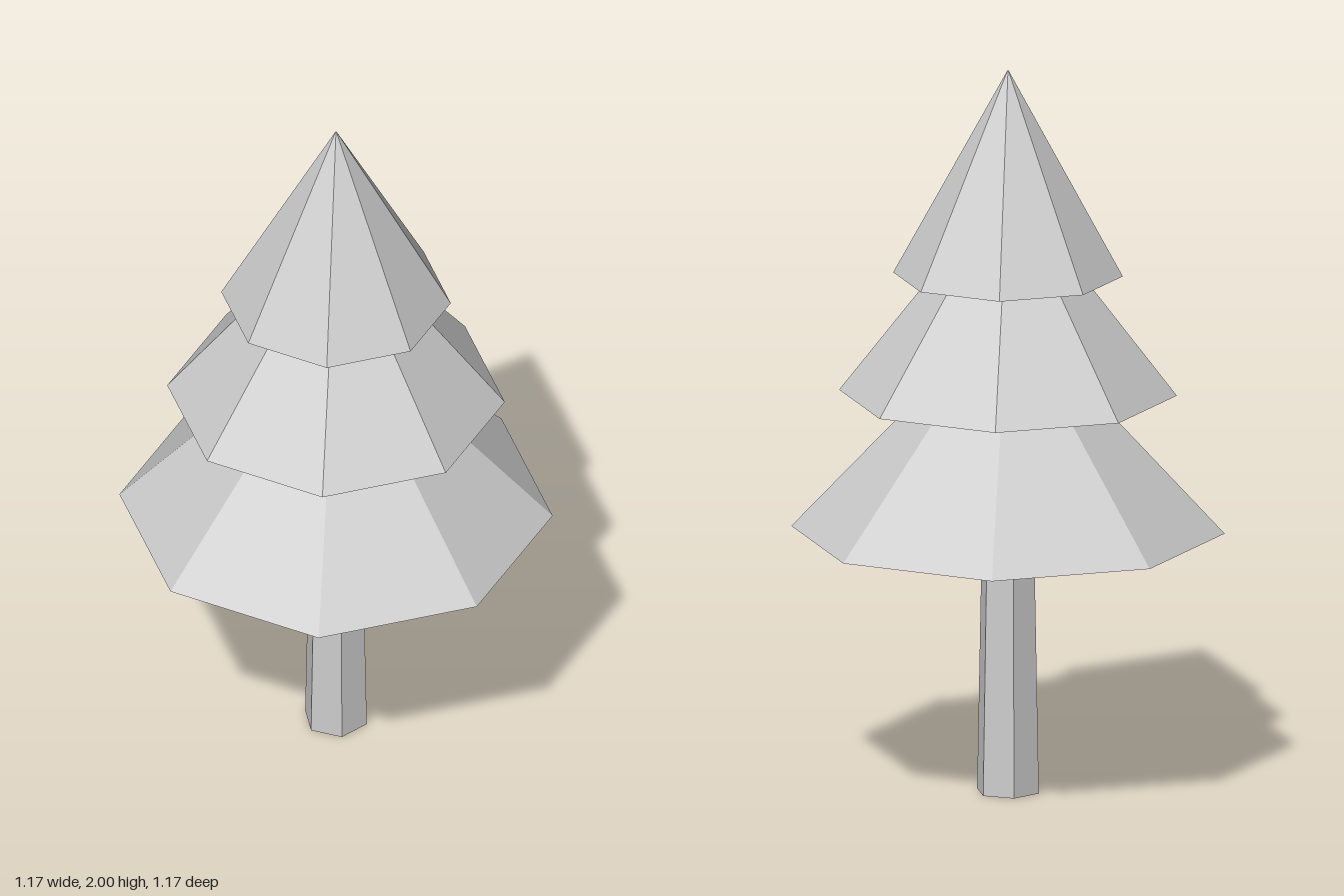
import * as THREE from 'three';

export function createModel() {
  const tree = new THREE.Group();
  tree.name = 'pineTree';

  const grey = new THREE.MeshStandardMaterial({ color: 0xcccccc, flatShading: true, side: THREE.DoubleSide });
  grey.name = 'light grey';

  // Tapered six-sided trunk, open at both ends, with corners on the x axis
  const trunkHeight = 0.73;
  const trunk = new THREE.Mesh(
    new THREE.CylinderGeometry(0.074, 0.088, trunkHeight, 6, 1, true, Math.PI / 2), grey);
  trunk.name = 'trunk';
  trunk.position.y = trunkHeight / 2;
  tree.add(trunk);

  // Three overlapping eight-sided tiers of foliage: [name, radius, base, apex]
  const tiers = [
    ['lowerFoliage', 0.585, 0.724, 1.345],
    ['middleFoliage', 0.456, 1.104, 1.69],
    ['upperFoliage', 0.31, 1.432, 2],
  ];
  for (const [name, radius, base, apex] of tiers) {
    const tier = new THREE.Mesh(new THREE.ConeGeometry(radius, apex - base, 8), grey);
    tier.name = name;
    tier.position.y = (base + apex) / 2;
    tree.add(tier);
  }

  return tree;
}
